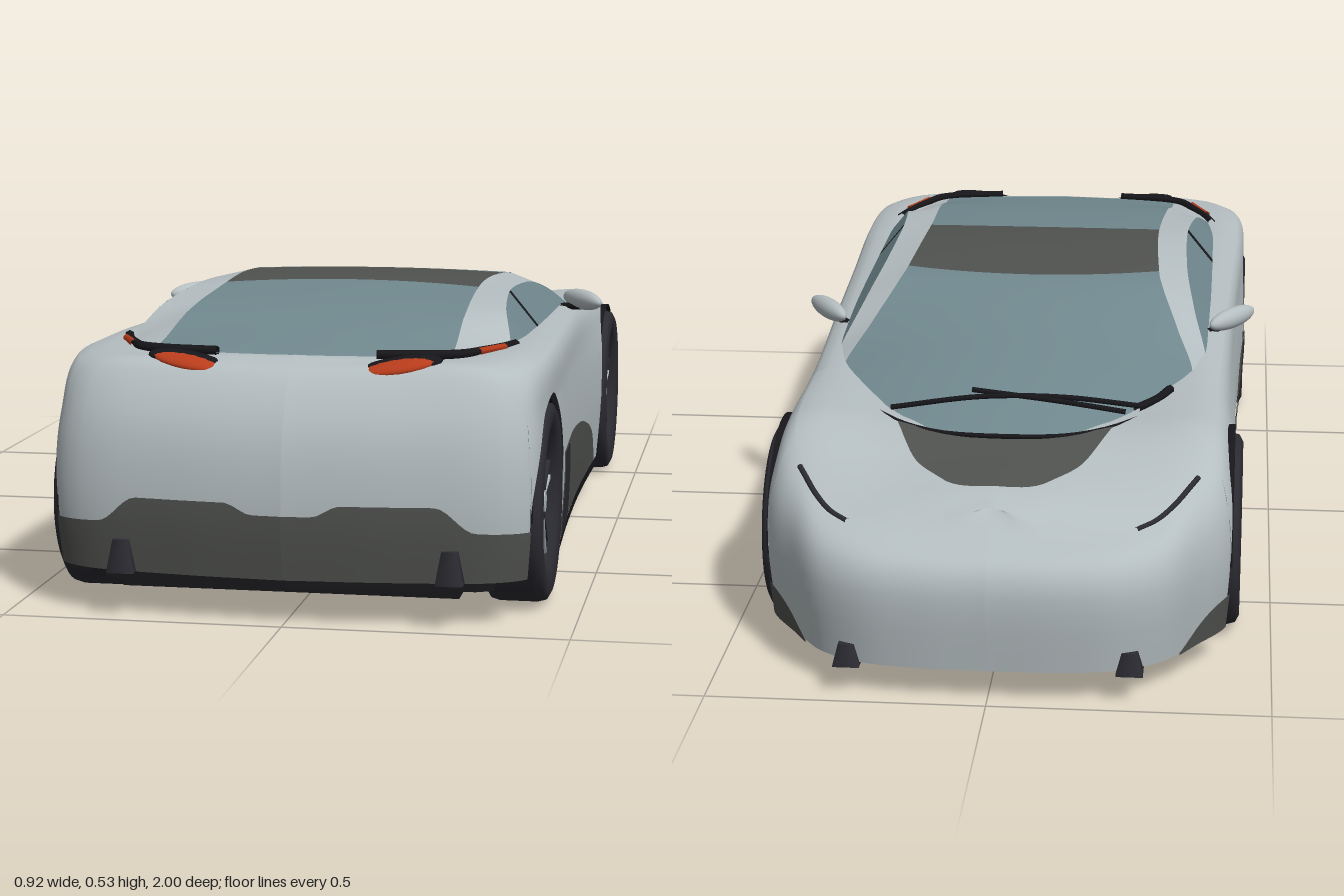
import * as THREE from 'three';

const V = (x, y, z) => new THREE.Vector3(x, y, z);
const lerp = THREE.MathUtils.lerp;
const mat = (name, color) => new THREE.MeshStandardMaterial({ name, color, side: THREE.DoubleSide });

// Smooth monotone curve through [position, value] pairs
function curve(...p) {
  const d = p.slice(1).map((q, i) => (q[1] - p[i][1]) / (q[0] - p[i][0]));
  const m = p.map((_, i) => {
    if (i === 0) return d[0];
    if (i === p.length - 1) return d[i - 1];
    const a = d[i - 1], b = d[i];
    return a * b <= 0 ? 0 : (2 * a * b) / (a + b);
  });
  return (v) => {
    if (v <= p[0][0]) return p[0][1];
    let i = 0;
    while (i < p.length - 2 && v > p[i + 1][0]) i++;
    const h = p[i + 1][0] - p[i][0], t = Math.min(1, (v - p[i][0]) / h), t2 = t * t, t3 = t2 * t;
    return (2 * t3 - 3 * t2 + 1) * p[i][1] + (t3 - 2 * t2 + t) * h * m[i]
      + (3 * t2 - 2 * t3) * p[i + 1][1] + (t3 - t2) * h * m[i + 1];
  };
}

// Root of a rising function
function solve(f, target, a, b) {
  for (let i = 0; i < 22; i++) { const m = (a + b) / 2; if (f(m) < target) a = m; else b = m; }
  return (a + b) / 2;
}

// Grid surface from rows of points
function skin(rows) {
  const n = rows[0].length, pos = [], idx = [];
  rows.forEach((r) => r.forEach((p) => pos.push(p.x, p.y, p.z)));
  for (let i = 0; i < rows.length - 1; i++) for (let j = 0; j < n - 1; j++) {
    const a = i * n + j, b = a + n;
    idx.push(a, b, a + 1, a + 1, b, b + 1);
  }
  const g = new THREE.BufferGeometry();
  g.setAttribute('position', new THREE.Float32BufferAttribute(pos, 3));
  g.setIndex(idx);
  g.computeVertexNormals();
  return g;
}
const sheet = (ns, nt, fn) => skin(Array.from({ length: nt + 1 }, (_, i) =>
  Array.from({ length: ns + 1 }, (_, j) => fn(j / ns, i / nt))));

// Body outline, nose to tail: waist x,z | shoulder x,y,z | centre y,z
const STATIONS = [
  [0, -1, 0, .29, -.925, .335, -.86], [.13, -.997, .12, .29, -.92, .335, -.86],
  [.23, -.98, .21, .295, -.9, .345, -.83], [.31, -.935, .285, .31, -.85, .355, -.78],
  [.37, -.85, .34, .345, -.77, .365, -.72], [.42, -.77, .375, .375, -.7, .375, -.68],
  [.437, -.68, .385, .395, -.63, .385, -.62], [.44, -.55, .39, .4, -.54, .39, -.54],
  [.43, -.35, .39, .405, -.35, .4, -.35], [.425, 0, .4, .425, 0, .43, 0],
  [.43, .3, .41, .432, .3, .44, .3], [.44, .6, .42, .44, .6, .445, .6],
  [.44, .8, .415, .44, .78, .45, .75], [.425, .91, .39, .435, .86, .455, .82],
  [.37, .955, .34, .435, .9, .455, .85], [.2, .985, .18, .43, .92, .455, .86],
  [0, 1, 0, .43, .925, .455, .865]];
const END = STATIONS.length - 1;
const waist = new THREE.CatmullRomCurve3(STATIONS.map((r) => V(r[0], .21, r[1])));
const shoulder = new THREE.CatmullRomCurve3(STATIONS.map((r) => V(r[2], r[3], r[4])));
const crown = new THREE.CatmullRomCurve3(STATIONS.map((r) => V(0, r[5], r[6])));
const SH = .6; // section parameter of the shoulder

function section(t) {
  const m = waist.getPoint(t / END), s = shoulder.getPoint(t / END), c = crown.getPoint(t / END);
  return new THREE.CatmullRomCurve3([
    V(m.x * .975, .04, m.z * .982), m,
    V(lerp(m.x, s.x, .25), lerp(m.y, s.y, .6), lerp(m.z, s.z, .25)), s,
    V(s.x * .5, lerp(s.y, c.y, .75), lerp(s.z, c.z, .7)), c]);
}
const tOfZ = (z) => solve((t) => waist.getPoint(t / END).z, z, 0, END);
const uOfY = (sec, y) => solve((u) => sec.getPoint(u).y, y, 0, SH);
const wall = (t, y) => { const s = section(t); return s.getPoint(uOfY(s, y)); };
const topAt = (t, x) => { const s = section(t); return s.getPoint(solve((u) => -s.getPoint(u).x, -x, SH, 1)); };
const onTop = (x, z) => topAt(solve((t) => topAt(t, Math.abs(x)).z, z, 1, 9), Math.abs(x)).setX(x);

// Wheels and arches
const WHEELS = [['front', -.57, 2.1], ['rear', .72, 4.05]], R = .18, ARCH = .195;
const lowEdge = (z) => {
  for (const [, c] of WHEELS) {
    const d = Math.abs(z - c);
    if (d <= ARCH) return R + Math.sqrt(ARCH * ARCH - d * d);
  }
  return z > .9 ? .08 : .06;
};

// Cabin curves along z
const cabTop = curve([-.67, .382], [-.53, .418], [-.29, .465], [-.02, .513], [.22, .527], [.46, .514], [.68, .486], [.8, .466], [.86, .455]);
const belt = curve([-.67, .38], [-.5, .393], [-.35, .408], [0, .437], [.3, .442], [.65, .449], [.86, .454]);
const glassX = curve([-.67, 0], [-.655, .11], [-.62, .18], [-.51, .275], [-.42, .325], [-.36, .34], [-.2, .305], [0, .262], [.3, .25], [.6, .26], [.82, .268], [.845, .18], [.86, 0]);
const beltX = curve([-.67, 0], [-.655, .115], [-.62, .185], [-.51, .285], [-.42, .335], [-.36, .352], [-.2, .365], [.5, .37], [.65, .355], [.74, .32], [.82, .275], [.845, .185], [.86, 0]);
const windowIn = curve([-.25, 0], [-.1, .03], [.1, .052], [.3, .058], [.5, .045], [.66, 0]);
const glassPt = (s, z) => {
  const g = glassX(z), b = belt(z), c = cabTop(z);
  const yg = b + (c - b) * Math.min(1, (beltX(z) - g) / .1) * .93;
  return V(g * s, c - (c - yg) * s * s, z);
};
const beltPt = (z) => V(beltX(z), belt(z), z);
const windowPt = (z) => V(beltX(z) - windowIn(z), belt(z) + windowIn(z) * 1.22, z);

export function createModel() {
  const car = new THREE.Group();
  car.name = 'sportsCar';
  const silver = mat('silver paint', 0xb4bdc0), dark = mat('dark grey panel', 0x50524f),
    glass = mat('tinted glass', 0x70888e), rubber = mat('dark rubber', 0x2b2b32),
    black = mat('black underside', 0x17171b), red = mat('red orange', 0xb83c1c);
  const add = (name, geo, m, parent = car) => {
    const mesh = new THREE.Mesh(geo, m);
    mesh.name = name;
    parent.add(mesh);
    return mesh;
  };
  const tube = (name, pts, r, m) => add(name, new THREE.TubeGeometry(new THREE.CatmullRomCurve3(pts), 32, r, 6), m);
  const flip = (p, s) => V(p.x * s, p.y, p.z);

  // Body shell with open wheel arches
  const ts = Array.from({ length: END * 6 + 1 }, (_, i) => i / 6);
  for (const [, c] of WHEELS) {
    ts.push(tOfZ(c - ARCH - .001), tOfZ(c + ARCH + .001));
    for (let k = 0; k <= 28; k++) ts.push(tOfZ(c + (ARCH - .0005) * Math.cos(Math.PI * k / 28)));
  }
  ts.sort((a, b) => a - b);
  const shell = ts.map((t) => {
    const sec = section(t), u0 = uOfY(sec, lowEdge(waist.getPoint(t / END).z)), half = [];
    for (let i = 0; i < 14; i++) half.push(sec.getPoint(lerp(u0, SH, i / 14)));
    for (let i = 0; i <= 12; i++) half.push(sec.getPoint(lerp(SH, 1, i / 12)));
    return [...half, ...half.slice(0, -1).reverse().map((p) => flip(p, -1))];
  });
  add('bodyShell', skin(shell), silver);

  // Cabin: windscreen, roof panel, rear window
  const pane = (name, z0, z1, m) => add(name, sheet(20, 40, (s, t) => {
    const a = s * 2 - 1, k = (1 - Math.cos(Math.PI * t)) / 2;
    return glassPt(a, lerp(z0(a), z1(a), k));
  }), m);
  const roofFront = (a) => -.03 + .05 * a * a, roofBack = (a) => .305 + .025 * a * a;
  pane('windscreen', () => -.67, roofFront, glass);
  pane('roofPanel', roofFront, roofBack, dark);
  pane('rearWindow', roofBack, () => .86, glass);

  // Plates lying just off the lower body sides
  const plate = (name, z0, z1, top, low, off, m, s) => {
    const a = tOfZ(z0), b = z1 >= 1 ? END : tOfZ(z1);
    add(name, sheet(6, 48, (v, k) => {
      const t = lerp(a, b, k), w = waist.getPoint(t / END);
      const p = wall(t, lerp(low, Math.max(low, top(w.z, w.x)), v));
      return V((p.x + off * Math.min(1, p.x * 8)) * s, p.y, p.z * (1 + off));
    }), m);
  };
  const sideTop = curve([-.3, .07], [-.2, .145], [-.1, .18], [.1, .218], [.33, .235], [.52, .235]);
  const ductTop = curve([.33, .1], [.41, .232], [.525, .235]);
  const noseTop = curve([-.9, .065], [-.8, .125], [-.76, .13]);
  const tailTop = curve([0, .195], [.05, .195], [.1, .215], [.26, .215], [.33, .17], [.44, .165]);

  for (const s of [1, -1]) {
    const side = s > 0 ? 'left' : 'right';
    add(side + 'RoofRail', sheet(8, 80, (v, t) => {
      const z = lerp(-.67, .86, (1 - Math.cos(Math.PI * t)) / 2);
      return flip(glassPt(1, z).lerp(windowPt(z), v), s);
    }), silver);
    for (const [name, z0, z1, m] of [['FrontSideWindow', -.25, .33, glass], ['DoorPillar', .33, .355, black], ['RearSideWindow', .355, .66, glass]])
      add(side + name, sheet(4, 24, (v, t) => flip(windowPt(lerp(z0, z1, t)).lerp(beltPt(lerp(z0, z1, t)), v), s)), m);

    plate(side + 'SidePanel', -.3, .524, sideTop, .065, .003, dark, s);
    plate(side + 'SideDuct', .33, .524, ductTop, .065, .005, rubber, s);
    plate(side + 'Sill', -.35, .524, () => .068, .048, .004, black, s);
    plate(side + 'FrontBumperCorner', -.9, -.767, noseTop, .06, .004, dark, s);
    plate(side + 'RearBumper', .917, 1, (z, x) => tailTop(x), .08, .003, dark, s);

    // Lamps
    const tail = [.64, .7, .76, .81, .835, .85].map((z) => flip(beltPt(z).add(V(.004, .004, .006)), s));
    tube(side + 'TailTrim', tail, .009, black);
    tube(side + 'TailStrip', [.7, .74, .78].map((z) => flip(beltPt(z).add(V(.01, .006, .01)), s)), .007, red);
    for (const [name, m, k, dz] of [['TailLampHousing', black, 1.14, 0], ['TailLamp', red, 1, .006]]) {
      const lamp = add(side + name, new THREE.SphereGeometry(1, 20, 12), m);
      lamp.scale.set(.068 * k, .012 * k, .026 * k);
      lamp.position.set(.187 * s, .443, .886 + dz);
      lamp.rotation.set(.3, .2 * s, .1 * s);
    }
    tube(side + 'Headlamp', [2.5, 3, 3.5, 4, 4.3].map((t) => flip(section(t).getPoint(.57), s)), .005, rubber);

    // Door mirror
    const mirror = add(side + 'Mirror', new THREE.SphereGeometry(1, 24, 16), silver);
    mirror.scale.set(.019, .021, .075);
    mirror.position.set(.413 * s, .446, -.085);
    mirror.rotation.y = .6 * s;
    tube(side + 'MirrorStalk', [V(.365 * s, .425, -.12), V(.39 * s, .43, -.1), V(.42 * s, .435, -.07)], .008, black);

    // Small bumper fins
    for (const [name, x, y, z] of [['RearFin', .29, .11, .968], ['FrontFin', .25, .075, -.955]]) {
      const fin = add(side + name, new THREE.CylinderGeometry(.02, .034, z > 0 ? .058 : .04, 4, 1).rotateY(Math.PI / 4), rubber);
      fin.position.set(x * s, y, z);
    }

    // Wheels with discs, spokes and calipers
    for (const [end, z, angle] of WHEELS) {
      const wheel = new THREE.Group();
      wheel.name = side + end[0].toUpperCase() + end.slice(1) + 'Wheel';
      wheel.position.set(.385 * s, R, z);
      car.add(wheel);
      const profile = [[.12, -.03], [.128, -.05], [.163, -.055], [.176, -.048], [.18, -.034], [.18, .034], [.176, .048], [.163, .055], [.128, .05], [.12, .03]];
      add('tyre', new THREE.LatheGeometry(profile.map(([r, h]) => new THREE.Vector2(r, h)), 48).rotateZ(Math.PI / 2), rubber, wheel);
      add('brakeDisc', new THREE.CylinderGeometry(.122, .122, .04, 40).rotateZ(Math.PI / 2), glass, wheel);
      add('hub', new THREE.CylinderGeometry(.034, .034, .076, 20).rotateZ(Math.PI / 2), rubber, wheel);
      add('hubCap', new THREE.CylinderGeometry(.02, .02, .082, 16).rotateZ(Math.PI / 2), silver, wheel);
      for (const o of [-.024, .024])
        add('caliper', new THREE.RingGeometry(.06, .115, 16, 1, angle - .42, .84).rotateY(Math.PI / 2), red, wheel).position.x = o;
      for (let i = 0; i < 5; i++) for (const d of [-.13, .13]) {
        const spoke = add('spoke', new THREE.BoxGeometry(.012, .09, .007).translate(.031 * s, .077, 0), d < 0 ? silver : rubber, wheel);
        spoke.rotation.x = i * Math.PI * .4 + d;
      }
      const liner = add(side + 'ArchLiner', new THREE.CylinderGeometry(ARCH, ARCH, .13, 32, 1, true, 0, Math.PI).rotateZ(Math.PI / 2), black);
      liner.position.set(.36 * s, R, z);
    }
  }

  // Bonnet panel
  const bonnetX = curve([0, .1], [.35, .15], [1, .2]);
  add('bonnetPanel', sheet(16, 14, (s, t) => {
    const a = s * 2 - 1, x = a * bonnetX(t);
    const z = lerp(-.83 + .03 * a ** 4, -.668 + 1.25 * x * x, t);
    return onTop(x, z).add(V(0, .004, -.001));
  }), dark);

  // Windscreen trim and wipers
  const base = [-.42, -.51, -.58, -.62, -.655].map((z) => beltPt(z).add(V(0, .003, 0)));
  tube('windscreenTrim', [...base, V(0, .385, -.67), ...base.slice().reverse().map((p) => flip(p, -1))], .005, black);
  const onGlass = (x, z) => glassPt(x / glassX(z), z).add(V(0, .008, 0));
  tube('longWiper', [[-.25, -.53], [-.1, -.54], [.05, -.55], [.22, -.565]].map((p) => onGlass(...p)), .005, black);
  tube('shortWiper', [[-.22, -.56], [-.1, -.555], [.07, -.525]].map((p) => onGlass(...p)), .005, black);
  tube('wiperBase', [[-.3, -.45], [-.28, -.49], [-.24, -.54]].map((p) => onGlass(...p)), .009, black);

  // Floor with wheel notches, inner tub and diffuser
  const plan = [[0, -.965], [.2, -.945], [.29, -.9], [.36, -.8], [.37, -.77], [.31, -.76], [.31, -.38], [.405, -.37], [.41, .52], [.31, .53], [.31, .91], [.36, .92], [.33, .935], [0, .965]];
  const outline = [...plan, ...plan.slice(1, -1).reverse().map(([x, z]) => [-x, z])].map(([x, z]) => new THREE.Vector2(x, z));
  const floor = add('floor', new THREE.ExtrudeGeometry(new THREE.Shape(outline), { depth: .04, bevelEnabled: false }).rotateX(Math.PI / 2), black);
  floor.position.y = .1;
  add('innerTub', new THREE.BoxGeometry(.62, .26, 1.66), black).position.set(0, .2, .07);
  add('diffuser', new THREE.BoxGeometry(.6, .045, .5), black).position.set(0, .068, .68);
  add('midFloor', new THREE.BoxGeometry(.8, .03, .88), black).position.set(0, .065, .075);
  return car;
}
